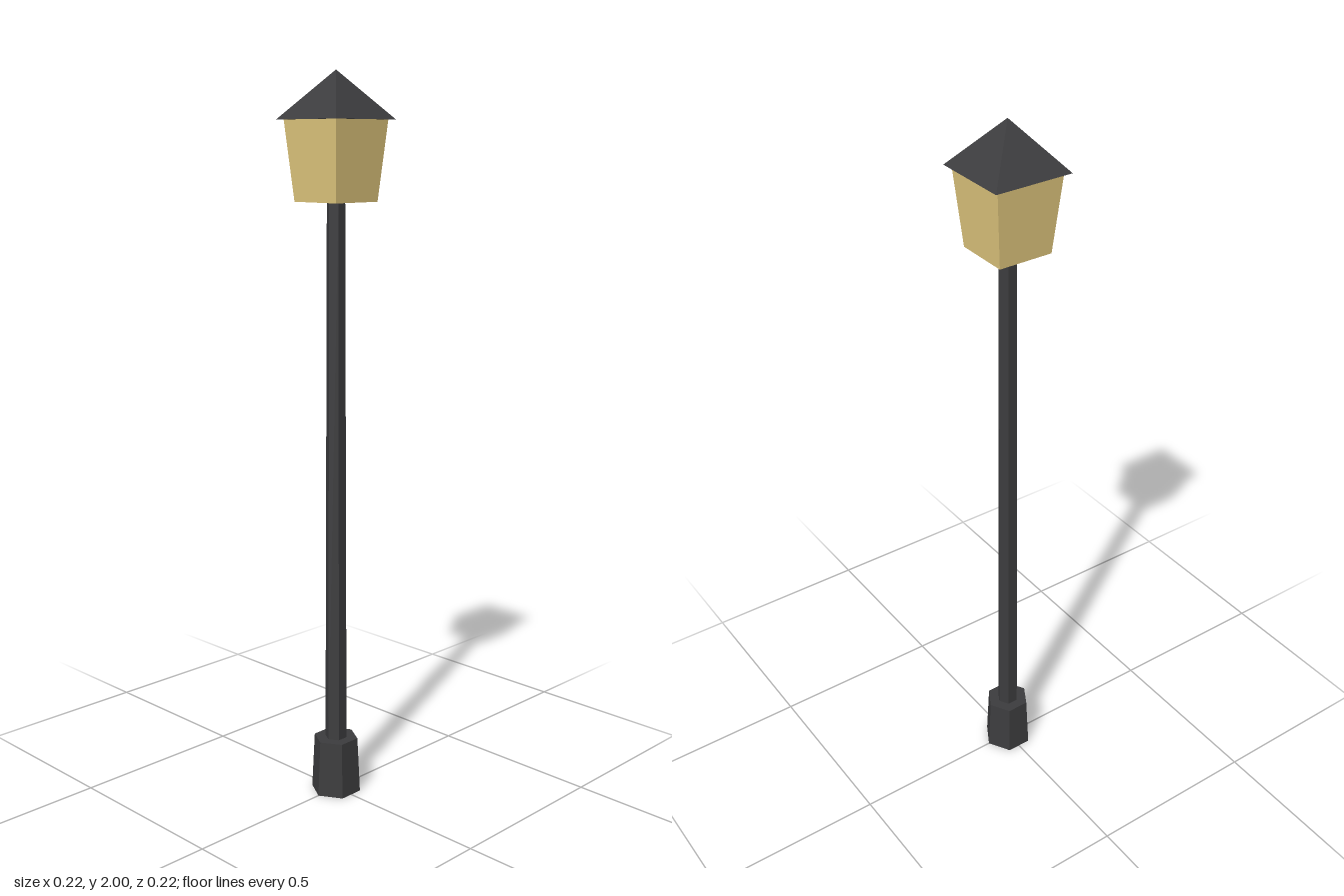
import * as THREE from 'three';

const iron = new THREE.MeshStandardMaterial({ color: 0x3c3c3e, flatShading: true });
const glass = new THREE.MeshStandardMaterial({ color: 0xe3c97f, flatShading: true });

// Tapered prism standing between heights y0 and y1
function prism(name, sides, turn, rBottom, rTop, y0, y1, material) {
  const geometry = new THREE.CylinderGeometry(rTop, rBottom, y1 - y0, sides, 1, false, turn);
  geometry.translate(0, (y0 + y1) / 2, 0);
  const mesh = new THREE.Mesh(geometry, material);
  mesh.name = name;
  return mesh;
}

export function createModel() {
  const group = new THREE.Group();
  group.name = 'streetLamp';
  const hexTurn = Math.PI / 6; // corners on the x axis
  const squareTurn = Math.PI / 4; // sides facing x and z
  const corner = Math.SQRT2; // half side to corner radius

  group.add(
    // Hexagonal foot and slender tapering pole
    prism('base', 6, hexTurn, 0.071, 0.063, 0, 0.16, iron),
    prism('pole', 6, hexTurn, 0.031, 0.025, 0.16, 1.67, iron),
    // Square lantern, wider at the top, under a pyramid roof
    prism('lantern', 4, squareTurn, 0.077 * corner, 0.096 * corner, 1.665, 1.876, glass),
    prism('roof', 4, squareTurn, 0.11 * corner, 0, 1.875, 2, iron),
  );
  return group;
}
